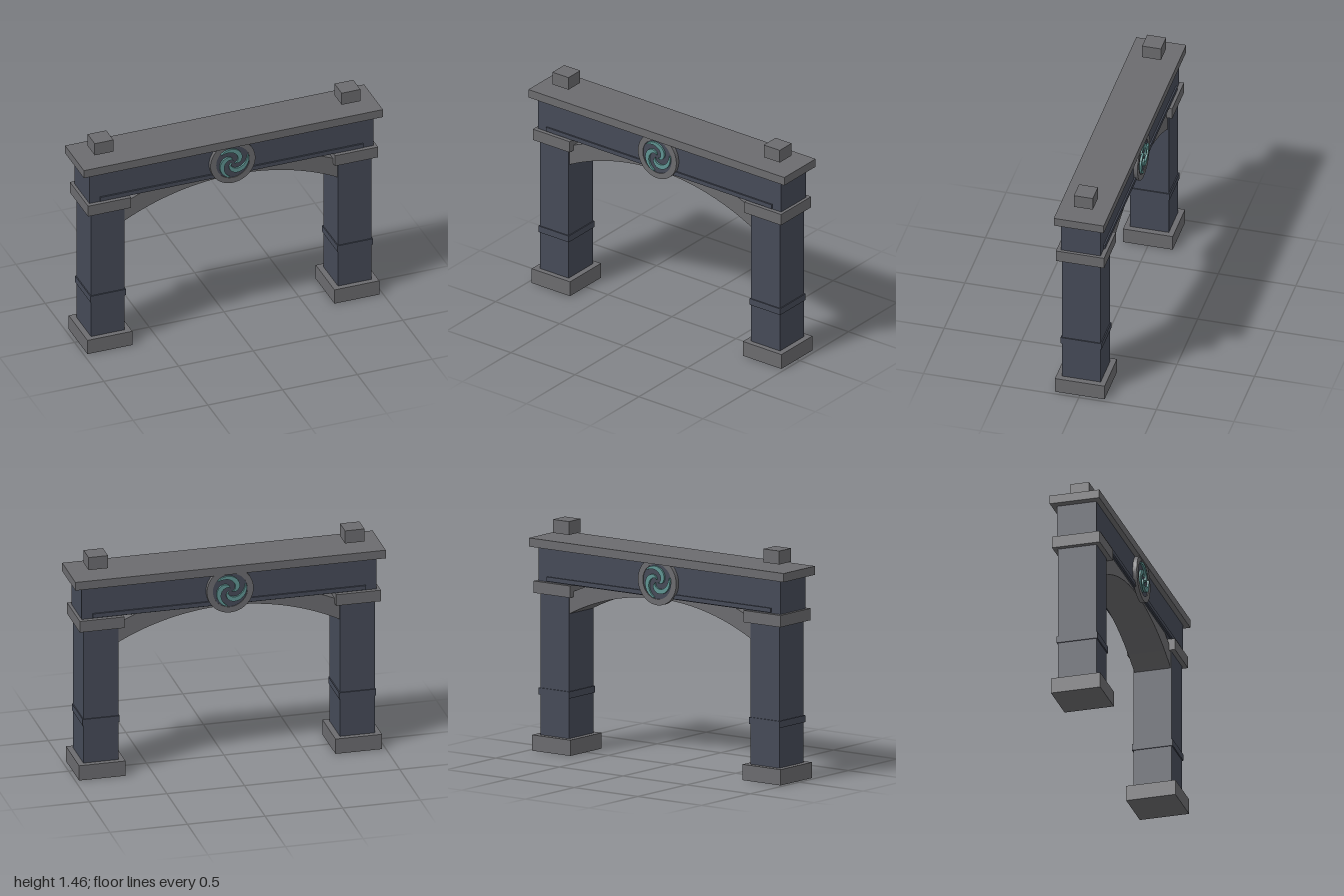
import * as THREE from 'three';

const material = (name, color) => {
  const m = new THREE.MeshStandardMaterial({ color });
  m.name = name;
  return m;
};

export function createModel() {
  const model = new THREE.Group();
  model.name = 'gateway';
  const trimStone = material('trim stone', 0x6b6b6e);
  const darkStone = material('dark stone', 0x454a57);
  const teal = material('teal inlay', 0x5f9492);

  const add = (parent, name, geometry, mat) => {
    const mesh = new THREE.Mesh(geometry, mat);
    mesh.name = name;
    parent.add(mesh);
    return mesh;
  };
  // Box centred on x and z, spanning y0 to y1
  const block = (parent, name, mat, w, y0, y1, d, x = 0, z = 0) =>
    add(parent, name, new THREE.BoxGeometry(w, y1 - y0, d), mat).position.set(x, (y0 + y1) / 2, z);
  const extrude = (shape, depth, curveSegments = 40) =>
    new THREE.ExtrudeGeometry(shape, { depth, bevelEnabled: false, curveSegments });

  // Pillars with base, band, capital and the small block above
  for (const side of [-1, 1]) {
    const pillar = new THREE.Group();
    pillar.name = side > 0 ? 'leftPillar' : 'rightPillar';
    pillar.position.x = side * 0.826;
    block(pillar, 'base', trimStone, 0.3, 0, 0.1, 0.32);
    block(pillar, 'shaft', darkStone, 0.225, 0.1, 1.0, 0.25);
    block(pillar, 'band', darkStone, 0.238, 0.355, 0.398, 0.264);
    block(pillar, 'capital', trimStone, 0.288, 1.0, 1.075, 0.31);
    block(pillar, 'roofBlock', trimStone, 0.125, 1.375, 1.46, 0.122);
    model.add(pillar);
  }

  // Lintel, its lower mouldings and the roof slab
  block(model, 'lintel', darkStone, 1.9, 1.075, 1.29, 0.254);
  for (const z of [0.131, -0.131]) block(model, 'moulding', darkStone, 1.76, 1.08, 1.108, 0.012, 0, z);
  block(model, 'roofSlab', trimStone, 2, 1.29, 1.345, 0.322);

  // Shallow arch between the pillars
  const inner = 1.548, outer = 1.665, reach = 0.72;
  const a = Math.acos(reach / inner), b = Math.acos(reach / outer);
  const arch = new THREE.Shape();
  arch.absarc(0, 0, inner, a, Math.PI - a, false);
  arch.absarc(0, 0, outer, Math.PI - b, b, true);
  add(model, 'arch', extrude(arch, 0.236, 24), trimStone).position.set(0, -0.483, -0.118);

  // One tapering spiral arm
  const arm = (turn) => {
    const left = [], right = [];
    const n = 18;
    for (let i = 0; i <= n; i++) {
      const t = i / n;
      const angle = turn - (1 - t) * 2.9;
      const r = 0.015 + 0.09 * Math.pow(t, 0.8);
      const half = 0.003 + 0.0135 * Math.pow(Math.sin(Math.PI * Math.pow(t, 0.85)), 0.8);
      const at = (rad) => new THREE.Vector2(Math.cos(angle) * rad, Math.sin(angle) * rad);
      right.push(at(r + half));
      left.unshift(at(Math.max(r - half, 0.004)));
    }
    return new THREE.Shape([...right, ...left]);
  };

  // Round medallion on the front and on the back
  const ring = new THREE.Shape();
  ring.absarc(0, 0, 0.15, 0, Math.PI * 2, false);
  const hole = new THREE.Path();
  hole.absarc(0, 0, 0.112, 0, Math.PI * 2, true);
  ring.holes.push(hole);
  for (const turned of [false, true]) {
    const medallion = new THREE.Group();
    medallion.name = turned ? 'backMedallion' : 'frontMedallion';
    add(medallion, 'ring', extrude(ring, 0.028), trimStone).position.z = 0.125;
    const disc = add(medallion, 'disc', new THREE.CylinderGeometry(0.114, 0.114, 0.023, 40), darkStone);
    disc.rotation.x = Math.PI / 2;
    disc.position.z = 0.1365;
    for (let k = 0; k < 3; k++)
      add(medallion, 'spiralArm', extrude(arm(0.32 + (k * Math.PI * 2) / 3), 0.013), teal).position.z = 0.147;
    medallion.position.y = 1.18;
    if (turned) medallion.rotation.y = Math.PI;
    model.add(medallion);
  }
  return model;
}
